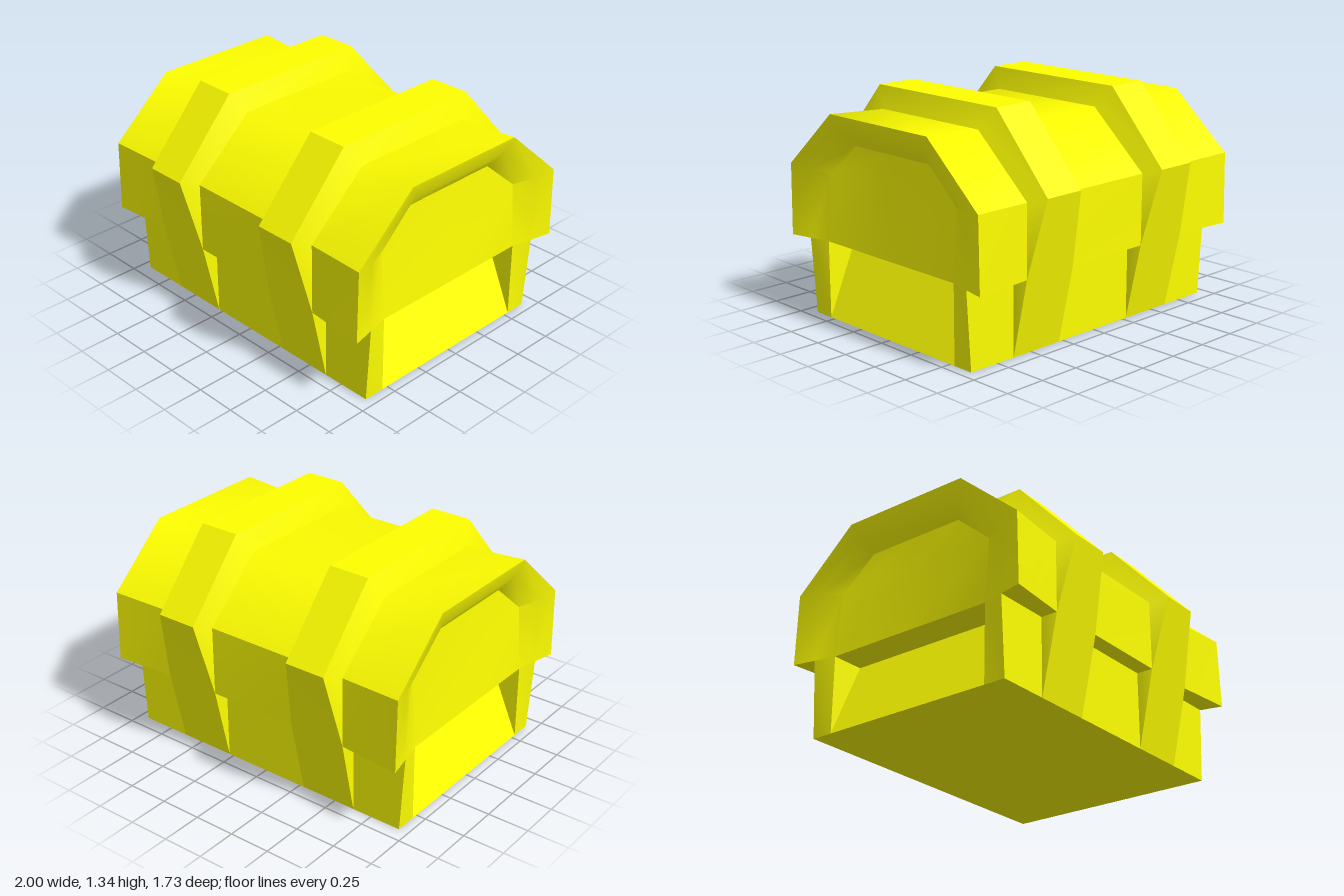
import * as THREE from 'three';
import { toCreasedNormals } from 'three/addons/utils/BufferGeometryUtils.js';

const SEAM = 0.46; // height where the lid meets the base

// Skins neighbouring rings of [x, y, z] points with quads, dropping empty triangles
function loft(rings, closed = false, crease = 45) {
  const pos = [];
  const tri = (...p) => {
    const [a, b, c] = p.map((q) => new THREE.Vector3(...q));
    if (b.clone().sub(a).cross(c.clone().sub(a)).length() > 1e-6) pos.push(...p.flat());
  };
  for (let i = 0; i < rings.length - 1; i++) {
    const A = rings[i], B = rings[i + 1], n = A.length;
    for (let j = 0; j < (closed ? n : n - 1); j++) {
      const k = (j + 1) % n;
      tri(A[j], B[j], B[k]);
      tri(A[j], B[k], A[k]);
    }
  }
  const g = new THREE.BufferGeometry();
  g.setAttribute('position', new THREE.Float32BufferAttribute(pos, 3));
  return toCreasedNormals(g, THREE.MathUtils.degToRad(crease));
}

// Full arch from its front half of [x, y, z] points
const arch = (half) => [...half, ...half.map(([x, y, z]) => [x, y, -z]).reverse()];
const profile = (x, half) => arch(half.map(([z, y]) => [x, y, z]));

export function createModel() {
  const group = new THREE.Group();
  const yellow = new THREE.MeshStandardMaterial({ color: 0xffff00 });
  const add = (name, geometry) => {
    const mesh = new THREE.Mesh(geometry, yellow);
    mesh.name = name;
    group.add(mesh);
    return mesh;
  };

  // Lid shell, flaring slightly towards both ends
  const flared = [[0.8, SEAM], [0.79, 0.89], [0.405, 1.23]];
  const straight = [[0.765, SEAM], [0.765, 0.88], [0.395, 1.21]];
  add('lid', loft([
    profile(-1, flared), profile(-0.63, straight), profile(0.63, straight), profile(1, flared),
  ]));

  // Lid ends: rim, sloping inner border and sunken panel
  const panel = [[0.94, SEAM, 0.535], [0.91, 0.855, 0.535], [0.9, 1.05, 0.31]];
  const endGeometry = loft([
    profile(1, flared),
    arch([[0.97, SEAM, 0.665], [0.97, 0.87, 0.665], [0.97, 1.135, 0.355]]),
    arch(panel),
    arch(panel.map(([x, y]) => [x, y, 0])),
  ], false, 30);
  add('lidLeftEnd', endGeometry);
  add('lidRightEnd', endGeometry).rotation.y = Math.PI;

  // Underside of the lid overhang
  const quarter = [[0.63, 0.765], [1, 0.8], [0.97, 0.665], [0.94, 0.535]];
  const halfEdge = [...quarter, ...quarter.map(([x, z]) => [x, -z]).reverse()];
  const edge = [...halfEdge, ...halfEdge.map(([x, z]) => [-x, -z])];
  const underside = new THREE.ShapeGeometry(new THREE.Shape(edge.map((p) => new THREE.Vector2(...p))));
  underside.rotateX(Math.PI / 2).translate(0, SEAM, 0);
  add('lidUnderside', underside);

  // Base walls, with end panels leaning inward between corner posts
  const outline = (y, half) =>
    [...half, ...half.map(([x, z]) => [-x, -z])].map(([x, z]) => [x, y, z]);
  const mirrorZ = (h) => [...h, ...h.map(([x, z]) => [x, -z]).reverse()];
  add('base', loft([
    outline(SEAM, mirrorZ([[0.97, 0.665], [0.94, 0.535], [0.74, 0.535]])),
    outline(0, mirrorZ([[0.94, 0.665], [0.94, 0.535], [0.94, 0.535]])),
  ], true, 20));
  const floor = new THREE.PlaneGeometry(1.88, 1.33).rotateX(Math.PI / 2);
  add('baseFloor', floor);

  // Straps: [inner z, inner y, outer z, outer y, outer half width]
  const stations = [
    [0.665, 0, 0.665, 0, 0.175],
    [0.665, SEAM, 0.765, SEAM, 0.175],
    [0.765, SEAM, 0.765, SEAM, 0.175],
    [0.765, 0.88, 0.865, 0.91, 0.125],
    [0.395, 1.21, 0.483, 1.335, 0.125],
  ];
  const section = (side) => ([iz, iy, oz, oy, w]) => [
    [0.175, iy, iz * side], [w, oy, oz * side], [-w, oy, oz * side], [-0.175, iy, iz * side],
  ];
  const strap = loft([...stations.map(section(1)), ...stations.map(section(-1)).reverse()], false, 40);
  add('leftStrap', strap).position.x = 0.455;
  add('rightStrap', strap).position.x = -0.455;

  return group;
}
